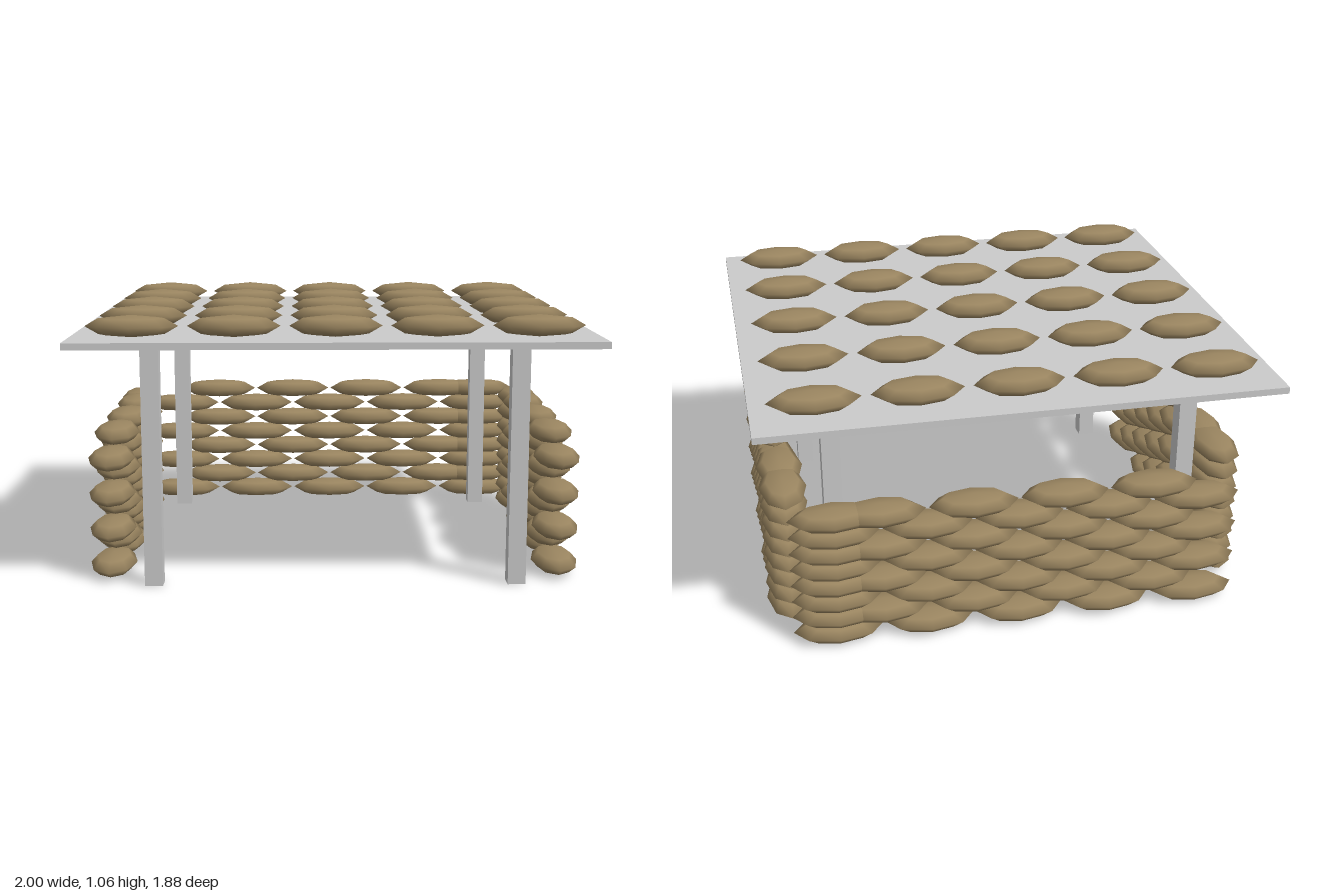
import * as THREE from 'three';

const BAG = { length: 0.35, height: 0.084, width: 0.185 };
const ROWS = 8, ROW_STEP = 0.071;

const grey = new THREE.MeshStandardMaterial({ color: 0xcccccc });
const cloth = new THREE.MeshStandardMaterial({ color: 0x9a8560 });

// Low-poly sandbag, long along x
const bagGeometry = new THREE.SphereGeometry(0.5, 8, 4);
bagGeometry.scale(BAG.length, BAG.height, BAG.width);

function addBag(parent, x, y, z, turned = false) {
  const bag = new THREE.Mesh(bagGeometry, cloth);
  bag.name = 'sandbag';
  bag.position.set(x, y, z);
  if (turned) bag.rotation.y = Math.PI / 2;
  parent.add(bag);
}

function addBox(parent, name, w, h, d, x, y, z) {
  const mesh = new THREE.Mesh(new THREE.BoxGeometry(w, h, d), grey);
  mesh.name = name;
  mesh.position.set(x, y, z);
  parent.add(mesh);
}

// Staggered courses: odd rows shift half a bag, the last bag stops at the wall end
function stackWall(name, count, start, step, place) {
  const wall = new THREE.Group();
  wall.name = name;
  const end = start + (count - 1) * step;
  for (let row = 0; row < ROWS; row++) {
    const y = BAG.height / 2 + row * ROW_STEP;
    for (let i = 0; i < count; i++) {
      const shifted = start + (i + (row % 2) / 2) * step;
      const along = step > 0 ? Math.min(shifted, end) : Math.max(shifted, end);
      place(wall, along, y);
    }
  }
  return wall;
}

export function createModel() {
  const model = new THREE.Group();
  model.name = 'sandbagShelter';

  // Flat roof on four posts
  addBox(model, 'roof', 2, 0.026, 1.876, 0, 0.962, 0);
  for (const x of [-0.705, 0.705]) {
    for (const z of [0.705, -0.645]) {
      addBox(model, 'post', 0.07, 0.949, 0.07, x, 0.4765, z);
    }
  }

  // Grid of bags weighing down the roof
  const roofBags = new THREE.Group();
  roofBags.name = 'roofSandbags';
  for (let i = -2; i <= 2; i++) {
    for (let j = -2; j <= 2; j++) addBag(roofBags, i * 0.382, 1.018, j * 0.382);
  }
  model.add(roofBags);

  // Back wall
  model.add(stackWall('backWall', 5, -0.72, 0.36,
    (wall, x, y) => addBag(wall, x, y, -0.795)));

  // Side walls, laid from front to back
  for (const [name, x] of [['leftWall', 0.885], ['rightWall', -0.885]]) {
    model.add(stackWall(name, 4, 0.53, -0.352,
      (wall, z, y) => addBag(wall, x, y, z, true)));
  }
  return model;
}
